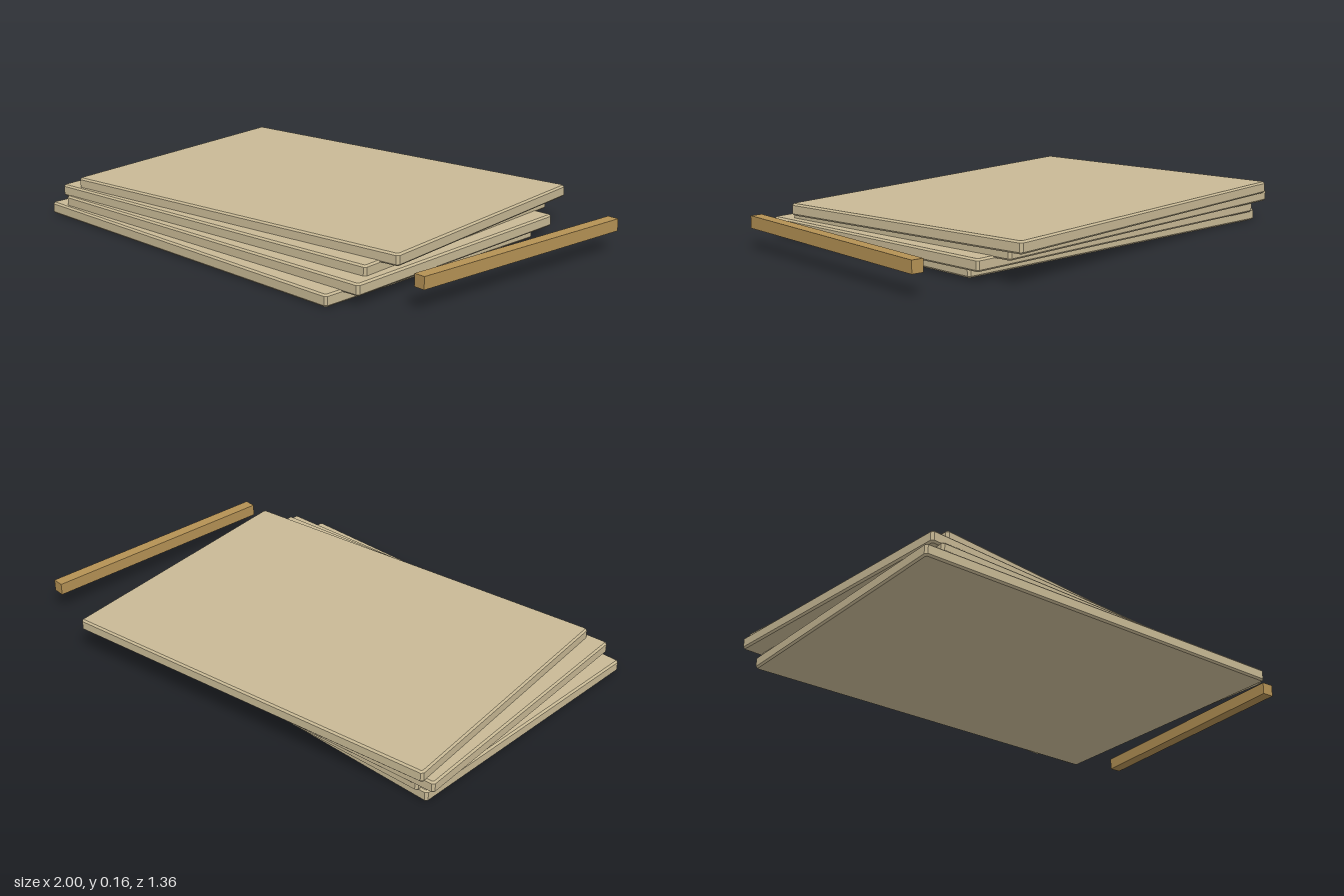
import * as THREE from 'three';

const THICK = 0.047;

// Sheet with chamfered edges and corners, resting on y = 0
function sheetGeometry(w, d, bevel) {
  const x = w / 2 - bevel, z = d / 2 - bevel, c = 0.005;
  const shape = new THREE.Shape([
    [x - c, -z], [x, -z + c], [x, z - c], [x - c, z],
    [-x + c, z], [-x, z - c], [-x, -z + c], [-x + c, -z],
  ].map(([a, b]) => new THREE.Vector2(a, b)));
  const geo = new THREE.ExtrudeGeometry(shape, {
    depth: THICK - 2 * bevel, bevelEnabled: true, bevelSegments: 1,
    bevelSize: bevel, bevelThickness: bevel,
  });
  geo.translate(0, 0, bevel);
  geo.rotateX(-Math.PI / 2);
  return geo;
}

export function createModel() {
  const group = new THREE.Group();
  const board = new THREE.MeshStandardMaterial({ name: 'pale board', color: 0xc8b995 });
  const wood = new THREE.MeshStandardMaterial({ name: 'brown wood', color: 0xb49154 });

  // Untidy stack of four boards: x, z, turn
  const geo = sheetGeometry(1.598, 1.132, 0.007);
  [[-0.17, 0.067, -0.06], [-0.113, 0.023, -0.02], [-0.17, -0.022, 0.02], [-0.114, -0.073, 0.06]]
    .forEach(([x, z, turn], i) => {
      const sheet = new THREE.Mesh(geo, board);
      sheet.name = `board${i + 1}`;
      sheet.position.set(x, i * 0.0387, z);
      sheet.rotation.y = turn;
      group.add(sheet);
    });

  // Loose square batten beside the stack
  const batten = new THREE.Mesh(new THREE.BoxGeometry(0.048, 0.048, 1.02), wood);
  batten.name = 'batten';
  batten.position.set(0.911, 0.106, -0.016);
  batten.rotation.y = -0.125;
  group.add(batten);

  return group;
}
